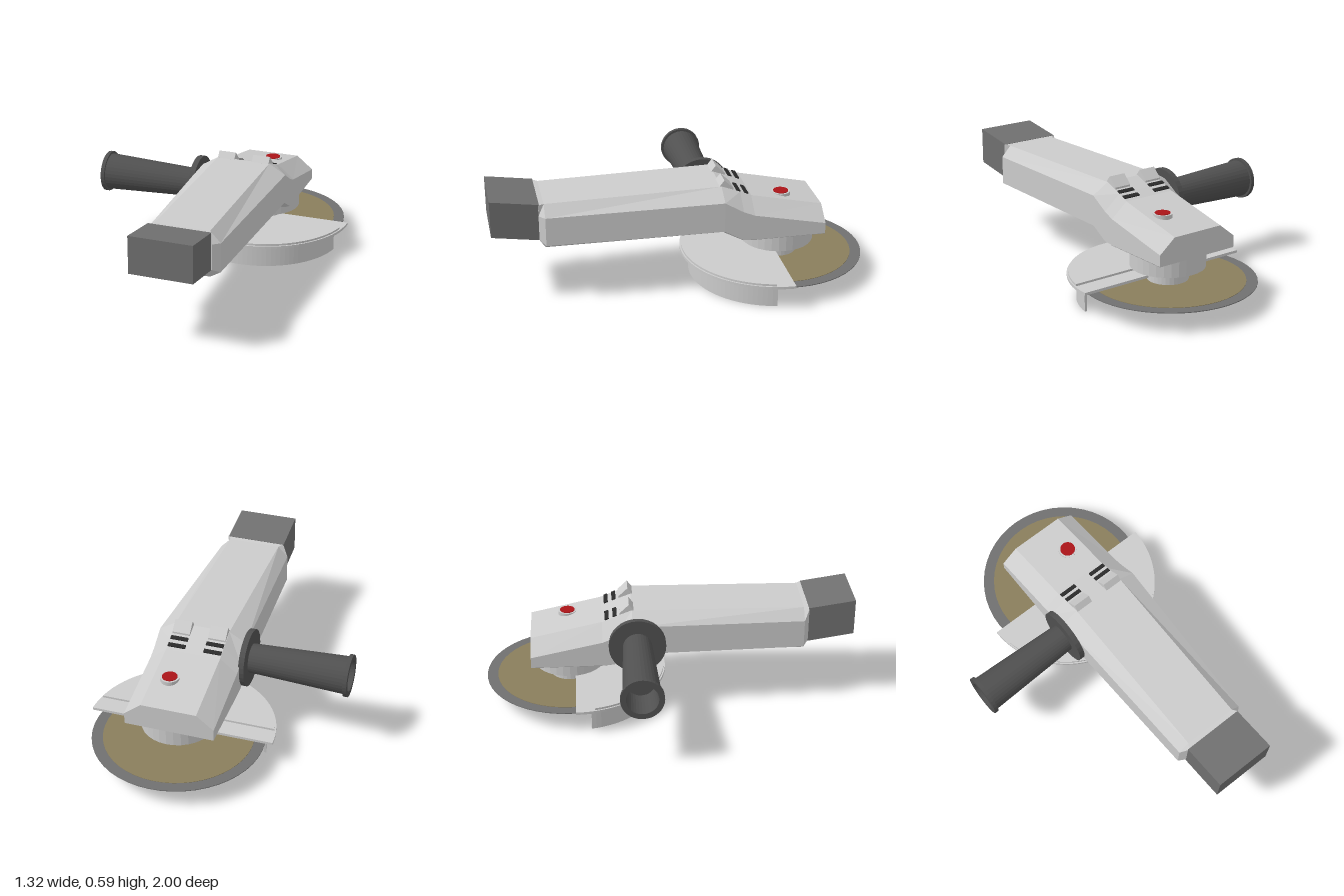
import * as THREE from 'three';

const CX = 0.137;                 // centre line of the body
const DX = 0.158, DZ = -0.54;     // spindle axis

const mat = (color) => new THREE.MeshStandardMaterial({ color, flatShading: true, side: THREE.DoubleSide });
const grey = mat(0xcccccc), dark = mat(0x707070), black = mat(0x505050);
const slotMat = mat(0x2a2a2a), brown = mat(0x8a7e5c), red = mat(0xaa1418);

function add(parent, name, geometry, material, x = 0, y = 0, z = 0) {
  const mesh = new THREE.Mesh(geometry, material);
  mesh.name = name;
  mesh.position.set(x, y, z);
  parent.add(mesh);
  return mesh;
}

// Octagonal cross-section: half widths of side, top and bottom, then the four heights
function octagon([z, side, top, bottom, yTop, yUpper, yLower, yBottom]) {
  return [[-bottom, yBottom], [bottom, yBottom], [side, yLower], [side, yUpper],
    [top, yTop], [-top, yTop], [-side, yUpper], [-side, yLower]].map(([x, y]) => [x, y, z]);
}

// Skin cross-sections ordered from +z to -z, with both ends capped
function loft(sections) {
  const rings = sections.map(octagon), n = 8, pos = [];
  const tri = (...pts) => pts.forEach((p) => pos.push(...p));
  for (let i = 0; i < rings.length - 1; i++) {
    for (let j = 0; j < n; j++) {
      const k = (j + 1) % n;
      const a = rings[i][j], b = rings[i][k], c = rings[i + 1][k], d = rings[i + 1][j];
      tri(a, d, c);
      tri(a, c, b);
    }
  }
  const first = rings[0], last = rings[rings.length - 1];
  for (let j = 1; j < n - 1; j++) {
    tri(first[0], first[j], first[j + 1]);
    tri(last[0], last[j + 1], last[j]);
  }
  const g = new THREE.BufferGeometry();
  g.setAttribute('position', new THREE.Float32BufferAttribute(pos, 3));
  g.computeVertexNormals();
  return g;
}

// Horizontal plate extruded downward from its shape (shape y becomes z)
function plate(shape, depth) {
  return new THREE.ExtrudeGeometry(shape, { depth, bevelEnabled: false, curveSegments: 24 }).rotateX(Math.PI / 2);
}

// Disc segment on the +z side of a straight cut
function segment(radius, cut) {
  const a = Math.asin(cut / radius);
  return new THREE.Shape().absarc(0, 0, radius, a, Math.PI - a, false);
}

const cyl = (r, h, n = 32) => new THREE.CylinderGeometry(r, r, h, n);

export function createModel() {
  const model = new THREE.Group();
  model.name = 'angleGrinder';

  // Motor housing and sloping gear head
  add(model, 'housing', loft([
    [0.755, 0.165, 0.165, 0.165, 0.55, 0.49, 0.37, 0.355],
    [0.725, 0.2, 0.145, 0.145, 0.547, 0.49, 0.335, 0.302],
    [-0.2, 0.238, 0.147, 0.15, 0.56, 0.505, 0.343, 0.304],
    [-0.3, 0.238, 0.147, 0.225, 0.522, 0.445, 0.285, 0.278],
    [-0.36, 0.238, 0.147, 0.236, 0.497, 0.42, 0.281, 0.278],
    [-0.745, 0.238, 0.147, 0.236, 0.413, 0.34, 0.281, 0.278],
  ]), grey, CX);

  // Tail grip
  add(model, 'tailGrip', loft([
    [1, 0.165, 0.165, 0.165, 0.588, 0.588, 0.39, 0.39],
    [0.75, 0.165, 0.165, 0.165, 0.551, 0.551, 0.352, 0.352],
  ]), dark, 0.133);

  // Side handle: flange, tapered grip and hollow end rim turned about the x axis
  const handle = [[0, 0], [0.153, 0], [0.153, 0.03], [0.078, 0.03], [0.1, 0.545],
    [0.112, 0.545], [0.112, 0.566], [0.083, 0.566], [0.075, 0.4], [0, 0.4]];
  const handleGeo = new THREE.LatheGeometry(handle.map(([r, h]) => new THREE.Vector2(r, h)), 32);
  add(model, 'sideHandle', handleGeo.rotateZ(Math.PI / 2), black, -0.095, 0.402, -0.176);

  // Air vents on both sides of the centre line
  const ridge = new THREE.Shape([[0.19, 0.53], [0.19, 0.56], [0.215, 0.593], [0.265, 0.545], [0.265, 0.5]]
    .map(([x, y]) => new THREE.Vector2(x, y)));
  for (const s of [-1, 1]) {
    const x = CX + s * 0.0975;
    const g = new THREE.ExtrudeGeometry(ridge, { depth: 0.095, bevelEnabled: false });
    add(model, 'ventRidge', g.translate(0, 0, -0.0475).rotateY(Math.PI / 2), grey, x);
    for (const z of [-0.29, -0.333]) {
      const slot = add(model, 'ventSlot', new THREE.BoxGeometry(0.095, 0.012, 0.022), slotMat, x, 0.56 + 0.39 * (z + 0.2), z);
      slot.rotation.x = -0.38;
    }
  }

  // Lock button
  add(model, 'buttonRing', cyl(0.05, 0.05), grey, 0.198, 0.443, -0.545);
  add(model, 'button', cyl(0.04, 0.05), red, 0.198, 0.446, -0.545);

  // Gear neck and spindle
  add(model, 'gearNeck', cyl(0.195, 0.1), grey, DX, 0.234, DZ);
  add(model, 'spindle', cyl(0.108, 0.13), grey, DX, 0.12, DZ);

  // Cutting disc with a brown inner face on both sides
  add(model, 'discRim', cyl(0.455, 0.004, 48), dark, DX, 0.108, -0.545);
  add(model, 'discFace', cyl(0.397, 0.008, 48), brown, DX, 0.108, -0.545);

  // Guard: two stacked half plates and a curved skirt
  add(model, 'guardPlate', plate(segment(0.498, 0), 0.014), grey, DX, 0.139, -0.512);
  add(model, 'guardTop', plate(segment(0.49, 0.1), 0.012), grey, DX, 0.15, -0.512);
  const a = 0.18;
  const skirt = new THREE.Shape();
  skirt.absarc(0, 0, 0.45, a, Math.PI - a, false);
  skirt.absarc(0, 0, 0.437, Math.PI - a, a, true);
  add(model, 'guardSkirt', plate(skirt, 0.13), grey, DX, 0.13, -0.512);

  return model;
}
